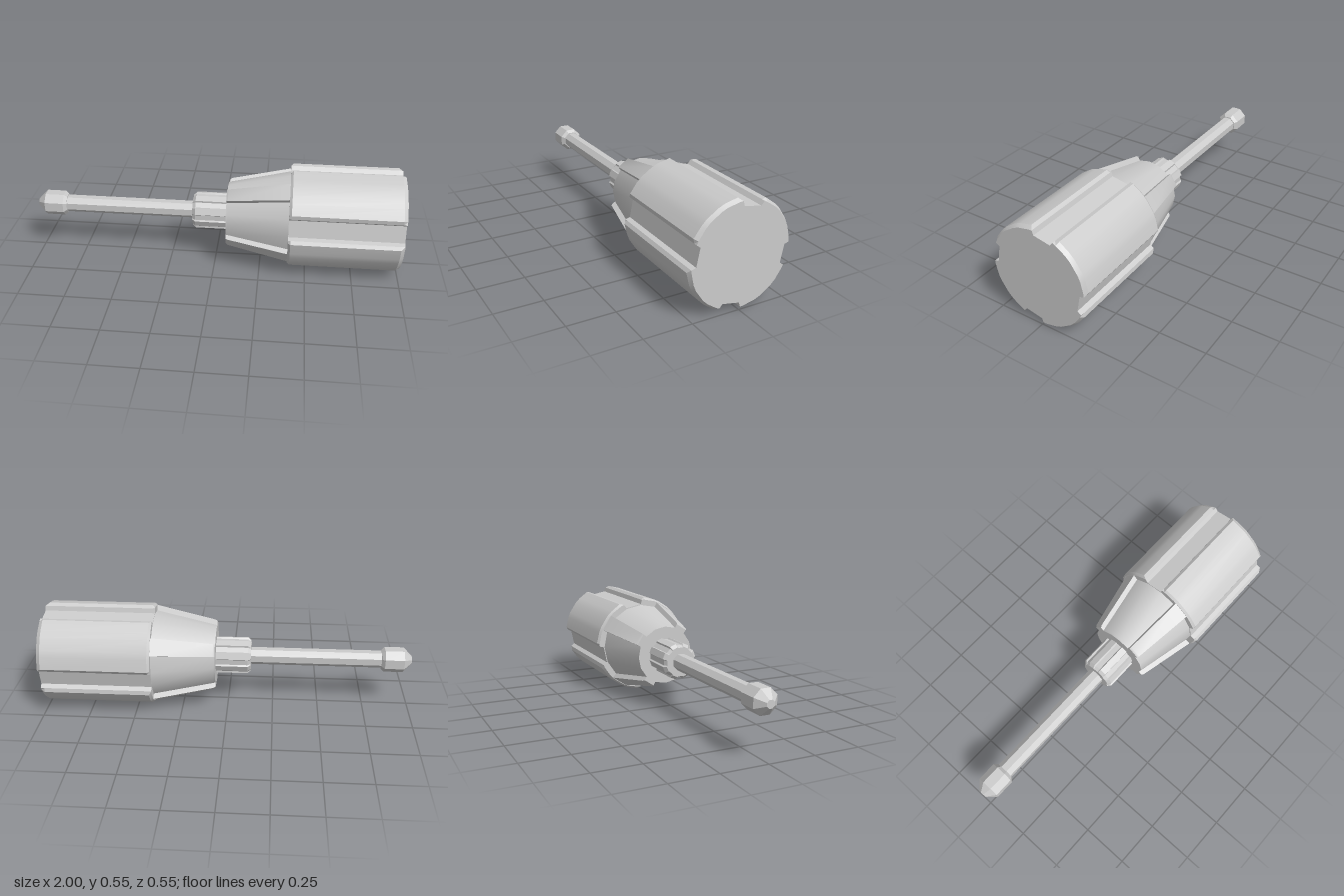
import * as THREE from 'three';
import { toCreasedNormals } from 'three/addons/utils/BufferGeometryUtils.js';

const material = new THREE.MeshStandardMaterial({ color: 0xcccccc });
const AXIS_Y = 0.277;

// Repeats a polar profile of [degrees, radius] points around the x axis.
function ring(x, profile, repeats) {
  const points = [];
  for (let k = 0; k < repeats; k++) {
    for (const [deg, r] of profile) {
      const a = THREE.MathUtils.degToRad(deg + (k * 360) / repeats);
      points.push([x, r * Math.sin(a), r * Math.cos(a)]);
    }
  }
  return points;
}

// Skins a row of rings ordered by x and closes both ends.
function loft(name, rings) {
  const pos = [];
  const tri = (...corners) => corners.forEach((c) => pos.push(...c));
  const n = rings[0].length;
  const first = rings[0];
  const last = rings[rings.length - 1];
  for (let j = 0; j < n; j++) {
    const k = (j + 1) % n;
    for (let i = 0; i < rings.length - 1; i++) {
      const p = rings[i];
      const q = rings[i + 1];
      tri(p[j], q[j], q[k]);
      tri(p[j], q[k], p[k]);
    }
    tri([first[0][0], 0, 0], first[j], first[k]);
    tri([last[0][0], 0, 0], last[k], last[j]);
  }
  const geometry = new THREE.BufferGeometry();
  geometry.setAttribute('position', new THREE.Float32BufferAttribute(pos, 3));
  const mesh = new THREE.Mesh(toCreasedNormals(geometry, 0.45), material);
  mesh.name = name;
  mesh.position.y = AXIS_Y;
  return mesh;
}

// Grip: four raised pads with bevelled edges, separated by grooves.
function grip() {
  const pad = [[24, 0.265], [28, 0.278], [41, 0.276], [49, 0.276], [64, 0.276], [71, 0.276], [85, 0.278], [88.5, 0.265]];
  const section = (x, limit) =>
    ring(x, [[0, 0.24], [22.5, 0.24], ...pad.map(([a, r]) => [a, Math.min(r, limit)])], 4);
  return loft('grip', [section(0.4, 0.266), section(0.413, 1), section(0.98, 1), section(1, 0.264)]);
}

// Tapered shoulder: a cone with four narrow ribs in line with the pads.
function shoulder() {
  const section = (x, floor, rib) =>
    ring(x, [[0, floor], [22.5, floor], [45, floor], [45.8, rib], [66.7, rib], [67.5, floor]], 4);
  return loft('shoulder', [section(0.065, 0.162, 0.184), section(0.075, 0.164, 0.192), section(0.41, 0.237, 0.267)]);
}

// Collar: eight flats separated by shallow grooves.
function collar() {
  const section = (x, r, groove) =>
    ring(x, [[-9, groove], [9, groove], [12, r], [33, r]], 8);
  return loft('collar', [section(-0.125, 0.084, 0.08), section(-0.108, 0.1, 0.091), section(0.08, 0.1, 0.091)]);
}

// Plain octagonal parts from [x, radius] stations.
const octagonal = (name, stations) =>
  loft(name, stations.map(([x, r]) => ring(x, [[22.5, r]], 8)));

export function createModel() {
  const group = new THREE.Group();
  group.name = 'screwdriverTool';
  group.add(
    grip(),
    shoulder(),
    collar(),
    octagonal('shaft', [[-0.86, 0.047], [-0.1, 0.047]]),
    octagonal('tip', [[-1, 0.022], [-0.955, 0.068], [-0.852, 0.068], [-0.835, 0.052]])
  );
  return group;
}
